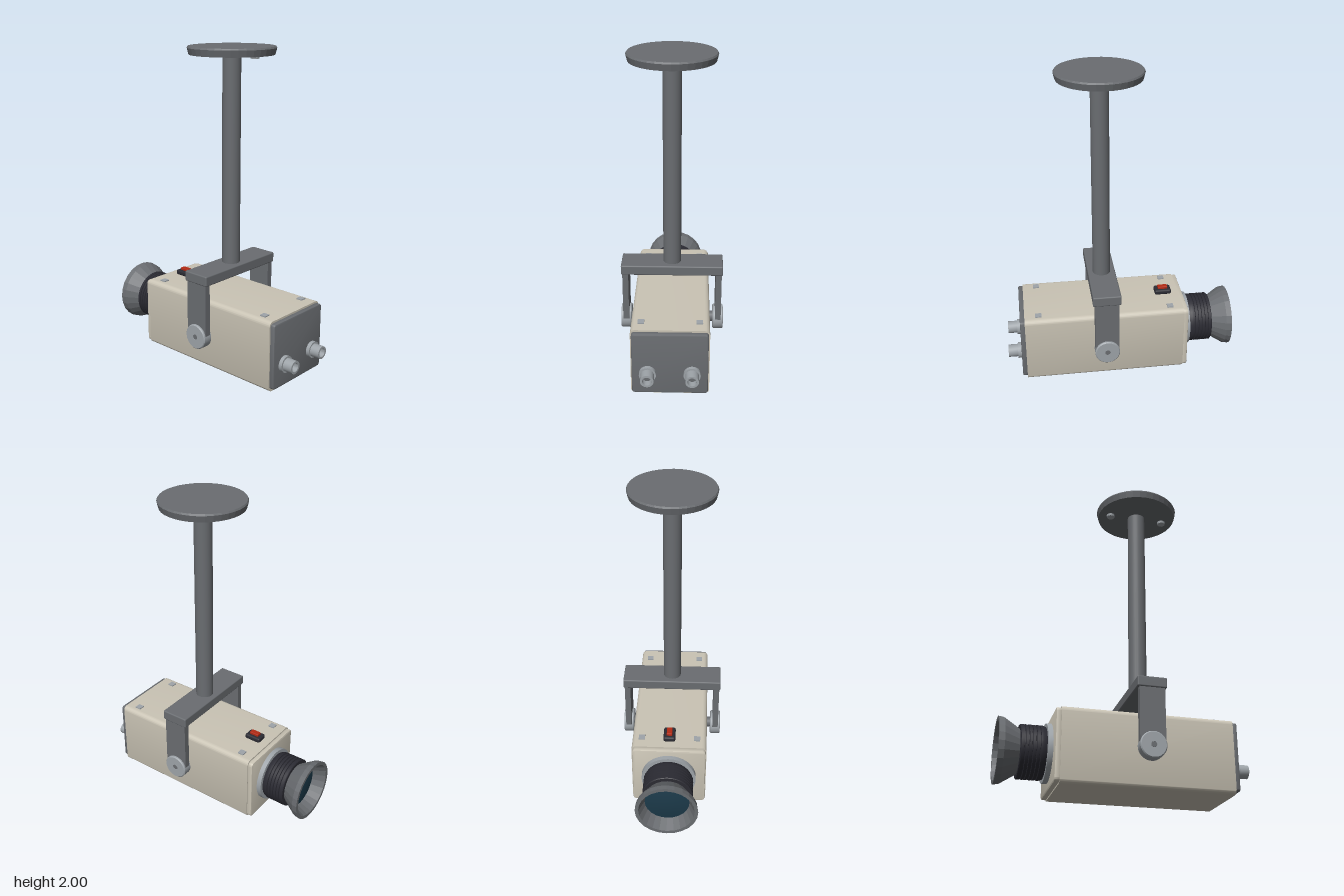
import * as THREE from 'three';
import { toCreasedNormals } from 'three/addons/utils/BufferGeometryUtils.js';
import { RoundedBoxGeometry } from 'three/addons/geometries/RoundedBoxGeometry.js';

const paint = (name, color) => Object.assign(new THREE.MeshStandardMaterial({ color }), { name });

export function createModel() {
  const cream = paint('cream casing', 0xcac4b5);
  const grey = paint('dark grey metal', 0x6a6d71);
  const silver = paint('light metal', 0x9ea4a9);
  const black = paint('black rubber', 0x2b2b33);
  const red = paint('red lamp', 0xb32a14);
  const glass = paint('lens glass', 0x1c3a4a);

  const model = new THREE.Group();
  model.name = 'securityCamera';
  const CX = 0.11; // bracket axis
  const CY = 0.23; // lens and pivot height

  function add(name, geometry, material, x = 0, y = 0, z = 0) {
    const mesh = new THREE.Mesh(geometry, material);
    mesh.name = name;
    mesh.position.set(x, y, z);
    model.add(mesh);
    return mesh;
  }
  // Turned part: profile of [radius, height] pairs, running from the base outward and up
  function turned(profile, sides = 32, crease = 0.5) {
    const points = profile.map(([r, h]) => new THREE.Vector2(r, h));
    return toCreasedNormals(new THREE.LatheGeometry(points, sides), crease);
  }
  // Rounded rectangular section swept along x, from x0 to x1, with a bevel on its ends
  function sweptBox(x0, x1, y0, y1, halfZ, radius, bevel) {
    const w = halfZ - bevel, b = y0 + bevel, t = y1 - bevel, r = radius;
    const s = new THREE.Shape();
    s.moveTo(-w + r, b);
    s.lineTo(w - r, b);
    s.absarc(w - r, b + r, r, -Math.PI / 2, 0);
    s.absarc(w - r, t - r, r, 0, Math.PI / 2);
    s.absarc(-w + r, t - r, r, Math.PI / 2, Math.PI);
    s.absarc(-w + r, b + r, r, Math.PI, Math.PI * 1.5);
    const g = new THREE.ExtrudeGeometry(s, {
      depth: x1 - x0 - 2 * bevel, curveSegments: 5, bevelEnabled: bevel > 0,
      bevelThickness: bevel, bevelSize: bevel, bevelSegments: 2,
    });
    g.translate(0, 0, x0 + bevel).rotateY(Math.PI / 2);
    return toCreasedNormals(g, 0.5);
  }

  // Ceiling plate, its screws and the pole
  add('ceilingPlate', turned([[0, 1.95], [0.26, 1.95], [0.27, 1.99], [0.264, 2], [0, 2]], 36, 0.1), grey, CX);
  for (const s of [-1, 1]) {
    add('plateScrew', new THREE.CylinderGeometry(0.028, 0.026, 0.017, 16), silver, CX + s * 0.18, 1.943, 0);
  }
  add('pole', new THREE.CylinderGeometry(0.057, 0.057, 1.33, 24), grey, CX, 1.295, 0);

  // Yoke: crossbar, two arms and pivot knobs
  add('crossbar', new RoundedBoxGeometry(0.18, 0.065, 0.65, 2, 0.008), grey, CX, 0.613, 0);
  const knob = turned([[0, 0], [0.074, 0], [0.08, 0.006], [0.08, 0.062], [0.074, 0.068], [0.018, 0.068], [0.018, 0.064], [0, 0.064]]);
  for (const s of [-1, 1]) {
    add('yokeArm', new THREE.BoxGeometry(0.155, 0.37, 0.038), grey, CX, 0.405, s * 0.299);
    add('pivotKnob', knob, silver, CX, CY, s * 0.265).rotation.x = s * Math.PI / 2;
    add('pivotCap', new THREE.CylinderGeometry(0.017, 0.017, 0.004, 12).rotateX(Math.PI / 2), grey, CX, CY, s * 0.33);
    add('pivotAxle', new THREE.CylinderGeometry(0.035, 0.035, 0.04, 16).rotateX(Math.PI / 2), grey, CX, CY, s * 0.252);
  }

  // Camera casing
  add('casing', sweptBox(-0.405, 0.63, 0, 0.45, 0.24, 0.03, 0), cream);
  add('frontPanel', sweptBox(-0.435, -0.4, 0.008, 0.442, 0.235, 0.015, 0.008), cream);
  add('backPanel', sweptBox(0.62, 0.66, 0.02, 0.438, 0.232, 0.01, 0.008), grey);
  for (const x of [-0.32, 0.54]) for (const z of [-0.178, 0.178]) {
    add('casingScrew', new THREE.BoxGeometry(0.04, 0.012, 0.04), silver, x, 0.451, z);
  }

  // Signal lamp on the roof
  add('lampBase', new RoundedBoxGeometry(0.11, 0.034, 0.076, 2, 0.012), black, -0.3, 0.466, 0);
  add('lamp', new RoundedBoxGeometry(0.064, 0.026, 0.036, 2, 0.005), red, -0.3, 0.486, 0);

  // Lens parts, turned about the x axis and pointing to -x
  const lensPart = (name, profile, material, x, sides, crease) =>
    add(name, turned(profile, sides, crease).rotateZ(Math.PI / 2), material, x, CY, 0);
  lensPart('lensMount', [[0, 0], [0.175, 0], [0.175, 0.03], [0, 0.03]], silver, -0.435, 32);
  const barrel = [[0, 0], [0.152, 0], [0.16, 0.02]];
  for (let i = 0; i < 5; i++) {
    const h = 0.035 + i * 0.022;
    barrel.push([0.16, h], [0.151, h + 0.002], [0.151, h + 0.006], [0.16, h + 0.008]);
  }
  barrel.push([0.16, 0.148], [0.156, 0.152], [0, 0.152]);
  lensPart('focusBarrel', barrel, black, -0.465, 32);
  lensPart('lensHood', [[0, 0], [0.132, 0], [0.192, 0.095], [0.197, 0.13], [0.175, 0.13], [0.14, 0.05], [0, 0.05]],
    grey, -0.615, 24, 0.1);
  lensPart('lensGlass', [[0.141, 0], [0.1, 0.007], [0.05, 0.012], [0, 0.014]], glass, -0.666, 24);

  // Rear sockets with hollow ends
  const socket = turned([[0, 0], [0.052, 0], [0.052, 0.025], [0.041, 0.025], [0.041, 0.087], [0.028, 0.087], [0.028, 0.04], [0, 0.04]], 24)
    .rotateZ(-Math.PI / 2);
  for (const z of [-0.135, 0.135]) {
    add('rearSocket', socket, silver, 0.658, 0.165, z);
    add('socketCore', new THREE.CylinderGeometry(0.027, 0.027, 0.008, 16).rotateZ(Math.PI / 2), grey, 0.7, 0.165, z);
  }
  return model;
}
